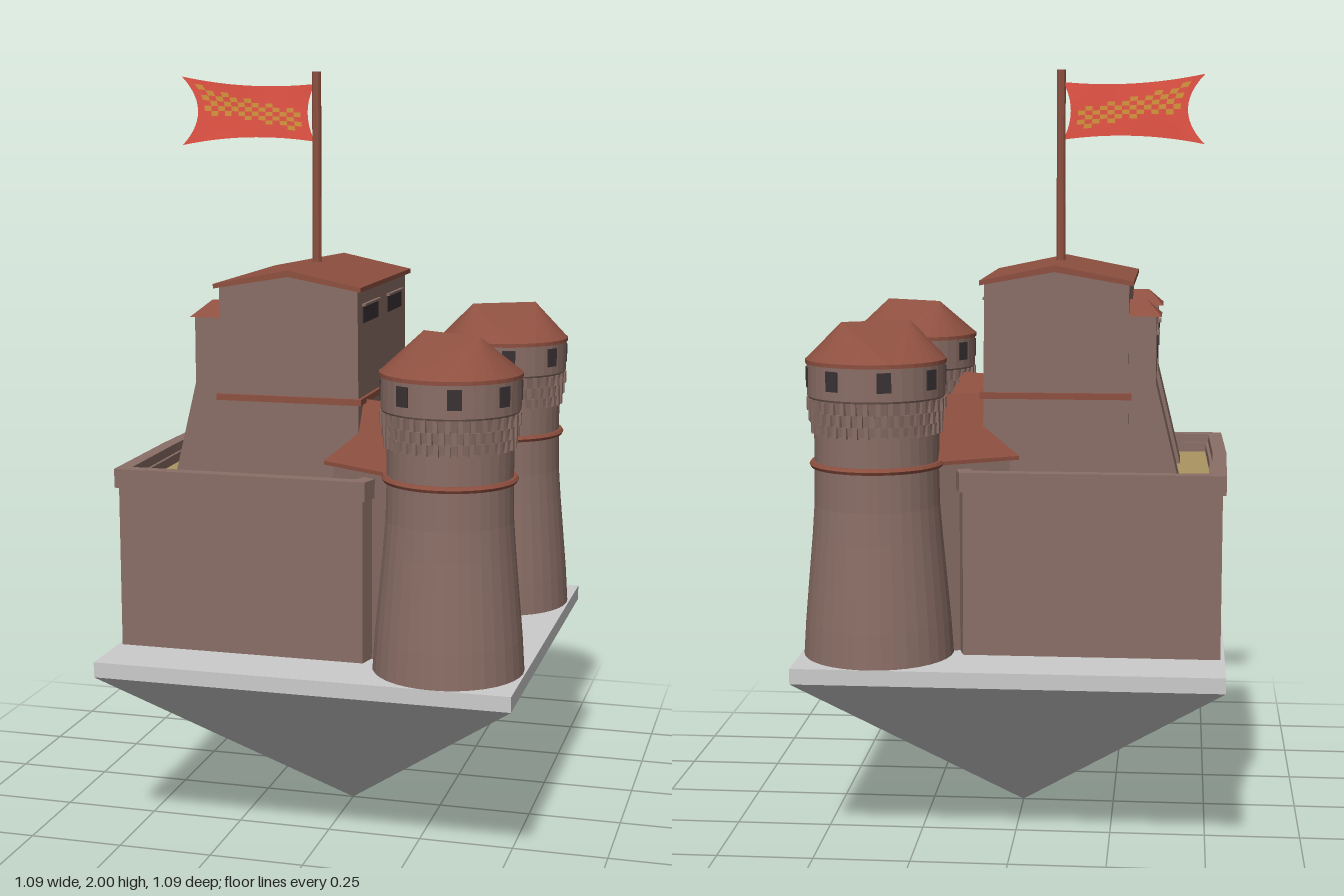
import * as THREE from 'three';

const mat = (color, extra = {}) => new THREE.MeshStandardMaterial({ color, flatShading: true, ...extra });

export function createModel() {
  const model = new THREE.Group();
  const stone = mat(0x8a6e66), roofing = mat(0x8e5040), dark = mat(0x3a3234);
  const sand = mat(0xab9562), grey = mat(0xcccccc);

  const add = (parent, name, geo, material, x = 0, y = 0, z = 0) => {
    const m = new THREE.Mesh(geo, material);
    m.name = name;
    m.position.set(x, y, z);
    parent.add(m);
    return m;
  };
  const box = (parent, name, material, w, h, d, x, y, z) =>
    add(parent, name, new THREE.BoxGeometry(w, h, d), material, x, y, z);
  const shapeOf = pts => new THREE.Shape(pts.map(p => new THREE.Vector2(...p)));
  const extrude = (shape, depth) => new THREE.ExtrudeGeometry(shape, { depth, bevelEnabled: false });
  // Upright slab from a plan outline
  const plan = (shape, h) => extrude(shape, h).rotateX(-Math.PI / 2);
  // Outline in x,y extruded along z, centred
  const section = (pts, depth) => extrude(shapeOf(pts), depth).translate(0, 0, -depth / 2);

  // Ground slab on an inverted pyramid
  box(model, 'groundSlab', grey, 1.086, 0.04, 1.086, 0, 0.49, 0);
  const pyramid = new THREE.ConeGeometry(0.543 * Math.SQRT2, 0.47, 4).rotateY(Math.PI / 4).rotateX(Math.PI);
  add(model, 'basePyramid', pyramid, grey, 0, 0.235, 0);

  // Bastion, its parapet and the courtyard floor; d insets the outline
  const outline = d => [
    [-0.532 + d, -0.372 + d], [0.125 - d * 0.8, -0.372 + d], [0.188 - d, -0.14], [0.192 - d, 0],
    [0.188 - d, 0.14], [0.125 - d * 0.8, 0.372 - d], [-0.532 + d, 0.372 - d], [-0.539 + d, 0]];
  add(model, 'bastion', plan(shapeOf(outline(0)), 0.42), stone, 0, 0.51, 0);
  const ring = shapeOf(outline(-0.009));
  ring.holes.push(new THREE.Path(outline(0.028).map(p => new THREE.Vector2(...p))));
  add(model, 'parapet', plan(ring, 0.05), stone, 0, 0.935, 0);
  const lip = shapeOf(outline(0));
  lip.holes.push(new THREE.Path(outline(0.036).map(p => new THREE.Vector2(...p))));
  add(model, 'parapetBase', plan(lip, 0.035), stone, 0, 0.925, 0);
  add(model, 'courtyardFloor', plan(shapeOf(outline(0.03)), 0.01), sand, 0, 0.925, 0);

  // Keep with a low gabled roof
  const keep = new THREE.Group();
  keep.name = 'keep';
  model.add(keep);
  add(keep, 'keepWalls', section([[-0.29, 0.93], [0.085, 0.93], [0.08, 1.456], [-0.1, 1.49], [-0.29, 1.456]], 0.51), stone);
  add(keep, 'keepRoof', section([[-0.302, 1.45], [-0.1, 1.485], [0.092, 1.45], [0.092, 1.462], [-0.1, 1.502], [-0.302, 1.462]], 0.54), roofing);
  box(keep, 'keepBand', roofing, 0.39, 0.016, 0.53, -0.103, 1.167, 0);
  for (const s of [1, -1]) {
    box(keep, 'longWindow', dark, 0.006, 0.045, 0.155, 0.08, 1.387, s * 0.128);
    box(keep, 'windowLintel', stone, 0.014, 0.006, 0.165, 0.082, 1.412, s * 0.128);
  }

  // Sloped buttress turrets behind the keep
  for (const s of [1, -1]) {
    const turret = new THREE.Group();
    turret.name = 'buttressTurret';
    turret.position.z = s * 0.182;
    model.add(turret);
    add(turret, 'turretWalls', section([[-0.425, 0.93], [-0.28, 0.93], [-0.28, 1.375], [-0.36, 1.375], [-0.36, 1.2]], 0.13), stone);
    box(turret, 'turretWindow', dark, 0.006, 0.06, 0.06, -0.36, 1.29, 0);
    box(turret, 'turretLintel', stone, 0.014, 0.008, 0.075, -0.361, 1.326, 0);
    // Hipped roof: a prism whose ridge end is pulled inward
    const hip = section([[-0.07, 0], [0.07, 0], [0, 0.04]], 0.09);
    const p = hip.attributes.position;
    for (let i = 0; i < p.count; i++) if (p.getY(i) > 0.03 && p.getZ(i) < 0) p.setZ(i, -0.005);
    hip.rotateY(Math.PI / 2).computeVertexNormals();
    add(turret, 'turretRoof', hip, roofing, -0.328, 1.372, 0);
  }

  // Round towers, each joined to the keep by a gabled wing
  const profile = [[0.193, 0.51], [0.187, 0.6], [0.178, 0.7], [0.167, 0.82], [0.161, 0.9], [0.159, 1.0],
    [0.159, 1.09], [0.166, 1.14], [0.172, 1.175], [0.175, 1.18], [0.175, 1.268]].map(p => new THREE.Vector2(...p));
  const slit = new THREE.BoxGeometry(0.036, 0.05, 0.006);
  const corbel = new THREE.BoxGeometry(0.012, 0.03, 0.014);
  for (const s of [1, -1]) {
    const tower = new THREE.Group();
    tower.name = s > 0 ? 'frontTower' : 'backTower';
    tower.position.set(0.345, 0, s * 0.35);
    model.add(tower);
    add(tower, 'towerWall', new THREE.LatheGeometry(profile, 36), stone);
    add(tower, 'towerBand', new THREE.TorusGeometry(0.163, 0.009, 6, 36).rotateX(Math.PI / 2), roofing, 0, 1.005, 0);

    // Roof: a cone whose tip is stretched into a ridge pointing at the keep
    const roof = new THREE.CylinderGeometry(0.01, 0.179, 0.095, 36);
    const p = roof.attributes.position;
    const rx = 0.08, rz = s * 0.045;
    for (let i = 0; i < p.count; i++) {
      if (p.getY(i) < 0) continue;
      const side = Math.sign(p.getX(i) * rx + p.getZ(i) * rz);
      p.setX(i, side * rx);
      p.setZ(i, side * rz);
    }
    roof.computeVertexNormals();
    add(tower, 'towerRoof', roof, roofing, 0, 1.318, 0);
    add(tower, 'roofEave', new THREE.CylinderGeometry(0.179, 0.179, 0.01, 36), roofing, 0, 1.267, 0);

    // Parts set around the wall at radius r
    const around = (name, geo, material, a, r, y) => {
      add(tower, name, geo, material, Math.sin(a) * r, y, Math.cos(a) * r).rotation.y = a;
    };
    for (let i = 0; i < 8; i++) {
      around('towerWindow', slit, dark, Math.PI / 12 + i * Math.PI / 4, 0.174, 1.227);
    }
    for (let row = 0; row < 3; row++) for (let i = 0; i < 36; i++) {
      around('corbel', corbel, stone, (i + row / 2) * Math.PI / 18, 0.16 + row * 0.005, 1.1 + row * 0.03);
    }

    // Wing
    const wing = new THREE.Group();
    wing.name = 'wing';
    wing.position.copy(tower.position);
    wing.rotation.y = Math.atan2(-0.866, -s * 0.5);
    model.add(wing);
    box(wing, 'wingWalls', stone, 0.165, 0.5, 0.38, 0, 0.76, 0.19);
    add(wing, 'wingRoof', section([[-0.095, 1.0], [0.095, 1.0], [0.095, 1.01], [0, 1.168], [-0.095, 1.01]], 0.38), roofing, 0, 0, 0.19);
  }

  // Flag pole and chequered flag with hollow edges
  add(model, 'flagPole', new THREE.CylinderGeometry(0.012, 0.012, 0.51, 10), roofing, -0.1, 1.745, 0);
  const cols = 16, rows = 12;
  const flagPoint = (u, v) => {
    const bow = t => 4 * t * (1 - t);
    const x = THREE.MathUtils.lerp(-0.105 - 0.02 * bow(v), -0.478 + 0.045 * bow(v), u);
    const low = 1.818 - 0.012 * u + 0.016 * bow(u), high = 1.968 + 0.02 * u - 0.014 * bow(u);
    return [x, THREE.MathUtils.lerp(low, high, v), 0.004 * Math.sin(u * 5)];
  };
  const isGold = (i, j) => {
    const k = j - Math.floor(i * 0.3);
    return i > 0 && i < cols - 1 && k >= 2 && k < 7 && (i + j) % 2 === 0;
  };
  const flagCells = gold => {
    const v = [];
    for (let i = 0; i < cols; i++) for (let j = 0; j < rows; j++) {
      if (isGold(i, j) !== gold) continue;
      const [a, b, c, d] = [[i, j], [i + 1, j], [i + 1, j + 1], [i, j + 1]].map(([m, n]) => flagPoint(m / cols, n / rows));
      v.push(...a, ...c, ...b, ...a, ...d, ...c);
    }
    const g = new THREE.BufferGeometry();
    g.setAttribute('position', new THREE.Float32BufferAttribute(v, 3));
    g.computeVertexNormals();
    return g;
  };
  const twoSided = { side: THREE.DoubleSide };
  add(model, 'flagCloth', flagCells(false), mat(0xe85546, twoSided));
  add(model, 'flagChequers', flagCells(true), mat(0xd8963c, twoSided));

  return model;
}
